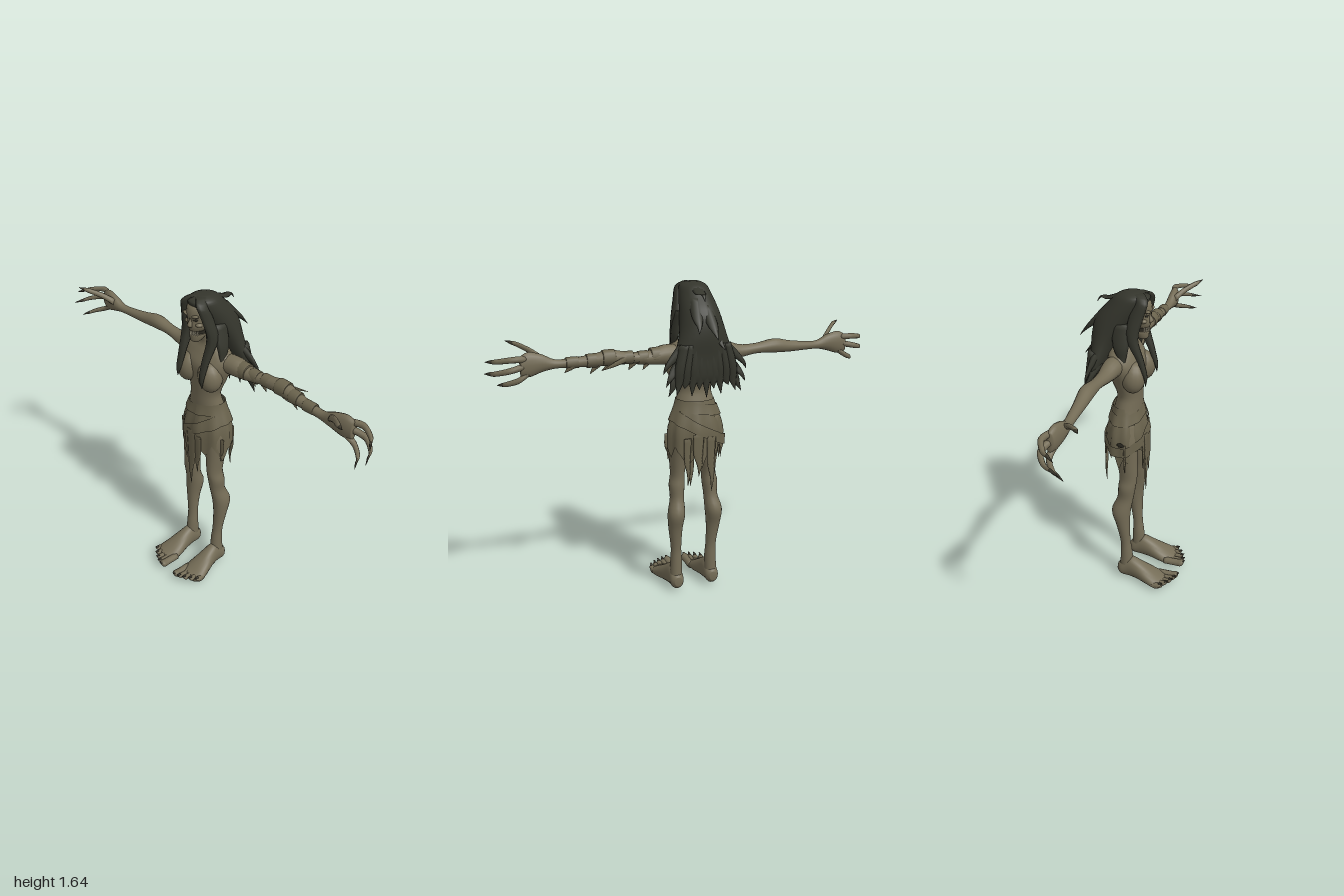
import * as THREE from 'three';

const mat = (name, color, side = THREE.FrontSide) => {
  const m = new THREE.MeshStandardMaterial({ color, side });
  m.name = name;
  return m;
};

// Smooth closed loft; each section is [x, y, z, a, b], its ring square to the axis
function loft(sections, axis = 'y', sides = 14, steps = 4) {
  const n = (sections.length - 1) * steps, pos = [], idx = [];
  const cr = (p0, p1, p2, p3, t) => p1 + 0.5 * t * (p2 - p0 + t * (2 * p0 - 5 * p1 + 4 * p2 - p3 + t * (3 * (p1 - p2) + p3 - p0)));
  const at = i => sections[Math.max(0, Math.min(sections.length - 1, i))];
  for (let r = 0; r <= n; r++) {
    const k = Math.min(Math.floor(r / steps), sections.length - 2), t = r / steps - k;
    const [x, y, z, a, b] = [0, 1, 2, 3, 4].map(c => cr(at(k - 1)[c], at(k)[c], at(k + 1)[c], at(k + 2)[c], t));
    for (let j = 0; j < sides; j++) {
      const w = j / sides * Math.PI * 2;
      const u = Math.cos(w) * Math.max(a, 0.0008), v = Math.sin(w) * Math.max(b, 0.0008);
      if (axis === 'y') pos.push(x + u, y, z + v);
      else if (axis === 'x') pos.push(x, y + u, z + v);
      else pos.push(x + u, y + v, z);
      if (r < n) {
        const p = r * sides + j, q = r * sides + (j + 1) % sides;
        idx.push(p, p + sides, q, q, p + sides, q + sides);
      }
    }
  }
  // end caps
  const c0 = pos.length / 3;
  pos.push(...at(0).slice(0, 3), ...at(sections.length - 1).slice(0, 3));
  for (let j = 0; j < sides; j++) {
    const j2 = (j + 1) % sides;
    idx.push(c0, j, j2, c0 + 1, n * sides + j2, n * sides + j);
  }
  // turn the faces outward
  const P = i => new THREE.Vector3().fromArray(pos, i * 3);
  const o = P(c0);
  let vol = 0;
  for (let i = 0; i < idx.length; i += 3)
    vol += P(idx[i]).sub(o).dot(P(idx[i + 1]).sub(o).cross(P(idx[i + 2]).sub(o)));
  if (vol < 0) idx.reverse();
  const g = new THREE.BufferGeometry();
  g.setAttribute('position', new THREE.Float32BufferAttribute(pos, 3));
  g.setIndex(idx);
  g.computeVertexNormals();
  return g;
}

// Open cloth around the hips between two height rules of the angle (0 = front)
function hipCloth(top, bottom, out, cols = 48, rows = 6) {
  const pos = [], idx = [];
  for (let r = 0; r <= rows; r++) for (let c = 0; c <= cols; c++) {
    const w = c / cols * Math.PI * 2, y = THREE.MathUtils.lerp(top(w), bottom(w), r / rows);
    const k = THREE.MathUtils.smoothstep(1.09 - y, 0, 0.2), fold = 0.005 * Math.sin(w * 9) * k;
    pos.push(Math.sin(w) * (0.095 + 0.052 * k + out + fold), y, -0.033 + Math.cos(w) * (0.065 + 0.036 * k + out + fold));
    if (r < rows && c < cols) {
      const p = r * (cols + 1) + c, q = p + cols + 1;
      idx.push(p, q, p + 1, p + 1, q, q + 1);
    }
  }
  const g = new THREE.BufferGeometry();
  g.setAttribute('position', new THREE.Float32BufferAttribute(pos, 3));
  g.setIndex(idx);
  g.computeVertexNormals();
  return g;
}

export function createModel() {
  const skin = mat('skin', 0x746c56), hair = mat('hair', 0x34352c);
  const cloth = mat('cloth', 0x6a634d, THREE.DoubleSide), dark = mat('dark', 0x2a2820);
  const teeth = mat('teeth', 0xb5ad94), claw = mat('claw', 0x403c30);
  const model = new THREE.Group(), body = new THREE.Group();
  body.name = 'body';
  body.position.x = -0.015;
  model.add(body);
  const add = (parent, name, geo, m) => {
    const mesh = new THREE.Mesh(geo, m);
    mesh.name = name;
    parent.add(mesh);
    return mesh;
  };
  const ball = (name, p, s, m) => {
    const b = add(body, name, new THREE.SphereGeometry(1, 18, 12), m);
    b.position.set(...p);
    b.scale.set(...s);
    return b;
  };
  const flip = (s, rows) => rows.map(([x, ...rest]) => [x * s, ...rest]);

  // Torso and neck
  add(body, 'torso', loft([[0, 0.88, -0.035, 0.09, 0.07], [0, 0.98, -0.035, 0.115, 0.075], [0, 1.06, -0.025, 0.097, 0.066],
    [0, 1.12, -0.02, 0.088, 0.062], [0, 1.2, -0.03, 0.115, 0.077], [0, 1.28, -0.035, 0.143, 0.088], [0, 1.34, -0.045, 0.135, 0.07],
    [0, 1.38, -0.045, 0.07, 0.05], [0, 1.42, -0.03, 0.037, 0.036], [0, 1.5, -0.015, 0.034, 0.036]], 'y', 24), skin);

  // Head: skull, dropped jaw, nose and bared teeth
  add(body, 'skull', loft([[0, 1.475, 0.03, 0.038, 0.048], [0, 1.5, 0.028, 0.052, 0.055], [0, 1.53, 0.018, 0.056, 0.062],
    [0, 1.555, 0.01, 0.058, 0.078], [0, 1.59, 0, 0.06, 0.083], [0, 1.615, -0.005, 0.048, 0.065], [0, 1.63, -0.005, 0.02, 0.03]], 'y', 20), skin);
  add(body, 'jaw', loft([[0, 1.412, 0.05, 0.016, 0.012], [0, 1.422, 0.044, 0.028, 0.028], [0, 1.447, 0.03, 0.04, 0.045],
    [0, 1.457, 0.028, 0.04, 0.045]], 'y', 16), skin);
  add(body, 'mouth', loft([[0, 1.45, 0.022, 0.037, 0.043], [0, 1.482, 0.024, 0.037, 0.043]], 'y', 16), dark);
  add(body, 'nose', loft([[0, 1.497, 0.08, 0.012, 0.008], [0, 1.507, 0.082, 0.014, 0.014], [0, 1.53, 0.076, 0.008, 0.01],
    [0, 1.55, 0.078, 0.005, 0.006]], 'y', 10), skin);
  for (let i = -3; i <= 3; i++) for (const y of [1.472, 1.459]) {
    const t = add(body, 'tooth', new THREE.BoxGeometry(0.007, 0.011, 0.006), teeth);
    t.position.set(i * 0.0085, y, 0.074 - i * i * 0.0016);
  }
  for (const s of [-1, 1]) {
    ball('eyeSocket', [s * 0.025, 1.538, 0.073], [0.014, 0.008, 0.004], dark).rotation.y = s * 0.35;
    ball('brow', [s * 0.027, 1.556, 0.076], [0.024, 0.008, 0.012], skin).rotation.z = s * 0.2;
    ball('cheekbone', [s * 0.036, 1.512, 0.056], [0.017, 0.011, 0.02], skin);
    const chest = ball('breast', [s * 0.073, 1.235, 0.022], [0.062, 0.08, 0.06], skin);
    chest.rotation.z = s * 0.2;
  }

  // Hair mass, side locks and ragged ends
  add(body, 'hairMass', loft([[0, 1.64, -0.005, 0.03, 0.03], [0, 1.622, -0.002, 0.064, 0.078], [0, 1.58, -0.03, 0.08, 0.092],
    [0, 1.5, -0.088, 0.098, 0.1], [0, 1.4, -0.133, 0.12, 0.072], [0, 1.3, -0.153, 0.15, 0.045], [0, 1.21, -0.17, 0.155, 0.024],
    [0, 1.17, -0.175, 0.14, 0.008]], 'y', 24), hair);
  const lock = (pts, axis = 'y') => add(body, 'hairLock', loft(pts, axis, 8), hair);
  for (const s of [-1, 1]) {
    lock(flip(s, [[0.02, 1.637, 0.03, 0.018, 0.03], [0.05, 1.61, 0.055, 0.022, 0.03], [0.07, 1.54, 0.035, 0.02, 0.035],
      [0.085, 1.44, 0.02, 0.026, 0.03], [0.08, 1.33, 0.06, 0.022, 0.016], [0.08, 1.25, 0.085, 0.016, 0.009], [0.086, 1.2, 0.088, 0.001, 0.001]]));
    lock(flip(s, [[0.075, 1.5, -0.03, 0.02, 0.05], [0.105, 1.4, -0.03, 0.018, 0.04], [0.115, 1.34, -0.02, 0.01, 0.02], [0.13, 1.3, -0.01, 0.001, 0.001]]));
    // wisps flaring behind the arms
    for (const [y, x, z] of [[1.26, 0.215, -0.17], [1.2, 0.205, -0.18], [1.15, 0.19, -0.17]])
      lock(flip(s, [[0.08, y + 0.1, -0.145, 0.05, 0.03], [0.14, y + 0.05, -0.16, 0.035, 0.016], [x - 0.02, y, z, 0.014, 0.006], [x, y - 0.035, z, 0.001, 0.001]]));
  }
  for (let i = -4; i <= 4; i++) {
    const x = i * 0.033, tip = 1.1 + 0.035 * (i & 1) + 0.006 * Math.abs(i);
    lock([[x * 0.8, 1.36, -0.165, 0.028, 0.03], [x, 1.25, -0.18, 0.028, 0.018], [x * 1.05, 1.18, -0.18, 0.02, 0.01], [x * 1.15, tip, -0.185, 0.001, 0.001]]);
  }
  for (const [x, y, z, dy] of [[0.01, 1.56, -0.19, 0], [-0.02, 1.39, -0.27, 0.02], [0.05, 1.42, -0.24, 0], [-0.07, 1.33, -0.22, 0]])
    lock([[x * 0.6, y + 0.15 - (y > 1.5 ? 0.09 : 0), z + 0.15, 0.03, 0.04], [x * 0.9, y + 0.07 - (y > 1.5 ? 0.04 : 0), z + 0.065, 0.028, 0.02],
      [x, y + 0.03, z + 0.025, 0.013, 0.008], [x * 1.2, y, z, 0.001, 0.001]]);

  for (const s of [-1, 1]) {
    // Legs and feet
    add(body, 'leg', loft(flip(s, [[0.065, 0.98, -0.035, 0.055, 0.07], [0.08, 0.88, -0.025, 0.06, 0.07], [0.083, 0.76, -0.01, 0.048, 0.055],
      [0.086, 0.66, -0.002, 0.037, 0.047], [0.092, 0.6, -0.008, 0.041, 0.046], [0.094, 0.53, -0.016, 0.036, 0.043], [0.104, 0.45, -0.036, 0.045, 0.051],
      [0.106, 0.36, -0.026, 0.037, 0.036], [0.1, 0.25, -0.015, 0.028, 0.027], [0.098, 0.17, -0.01, 0.031, 0.032], [0.1, 0.07, -0.008, 0.034, 0.038]]), 'y', 18), skin);
    add(body, 'foot', loft(flip(s, [[0.1, 0.06, -0.056, 0.02, 0.025], [0.1, 0.06, -0.035, 0.036, 0.045], [0.1, 0.076, 0.01, 0.038, 0.066],
      [0.102, 0.067, 0.06, 0.046, 0.06], [0.106, 0.045, 0.13, 0.064, 0.043], [0.11, 0.032, 0.18, 0.07, 0.029], [0.105, 0.028, 0.21, 0.055, 0.02]]), 'z', 18), skin);
    for (let i = 0; i < 5; i++) {
      const x = 0.054 + i * 0.028, z = 0.275 - i * i * 0.0028 - i * 0.004, r = i ? 0.013 : 0.02;
      add(body, 'toe', loft(flip(s, [[x, 0.035, 0.16, r, r], [x, 0.038, z - 0.045, r, r], [x, 0.042, z - 0.015, r * 1.1, r], [x, 0.05, z - 0.002, r * 0.5, r * 0.5]]), 'z', 10), skin);
      add(body, 'toenail', loft(flip(s, [[x, 0.054, z - 0.016, r * 0.6, 0.006], [x, 0.06, z + 0.004, r * 0.3, 0.003]]), 'z', 8), claw);
    }

    // Arms
    add(model, 'arm', loft(flip(s, [[0.07, 1.3, -0.05, 0.045, 0.05], [0.16, 1.3, -0.06, 0.048, 0.048], [0.24, 1.292, -0.066, 0.033, 0.037],
      [0.33, 1.3, -0.07, 0.026, 0.03], [0.43, 1.307, -0.072, 0.036, 0.036], [0.52, 1.298, -0.066, 0.029, 0.03], [0.62, 1.293, -0.058, 0.022, 0.024],
      [0.69, 1.292, -0.052, 0.022, 0.022], [0.75, 1.3, -0.05, 0.042, 0.027], [0.81, 1.298, -0.055, 0.058, 0.025], [0.85, 1.293, -0.06, 0.045, 0.018]]), 'x', 16), skin);
    // Fingers: base, knuckle, bend and claw tip
    const fingers = [
      [[0.74, 1.315, -0.035], [0.79, 1.35, 0.005], [0.84, 1.375, 0.05], [0.89, 1.39, 0.085]],
      [[0.82, 1.325, -0.06], [0.885, 1.328, -0.075], [0.95, 1.318, -0.04], [0.995, 1.308, 0.025]],
      [[0.83, 1.292, -0.062], [0.9, 1.278, -0.075], [0.96, 1.262, -0.035], [1, 1.248, 0.05]],
      [[0.81, 1.26, -0.055], [0.86, 1.228, -0.06], [0.91, 1.208, -0.025], [0.945, 1.192, 0.04]]];
    for (const [a, b, c, d] of fingers) {
      const m = c.map((v, i) => v + (d[i] - v) * 0.45);
      add(model, 'finger', loft(flip(s, [[...a, 0.016, 0.016], [...b, 0.0145, 0.0145], [...c, 0.012, 0.014], [...m, 0.009, 0.01]]), 'x', 10), skin);
      add(model, 'claw', loft(flip(s, [[...c.map((v, i) => v + (m[i] - v) * 0.8), 0.008, 0.009], [...m, 0.0095, 0.0105], [...d, 0.001, 0.001]]), 'x', 8), claw);
    }
  }

  // Wrappings on the left arm, with torn ends
  for (const [x, y, z, r, w] of [[0.2, 1.298, -0.063, 0.043, 0.03], [0.27, 1.295, -0.068, 0.034, 0.025], [0.35, 1.301, -0.071, 0.032, 0.03],
    [0.44, 1.307, -0.072, 0.04, 0.03], [0.52, 1.298, -0.066, 0.034, 0.025], [0.61, 1.294, -0.059, 0.028, 0.03]])
    add(model, 'armWrap', loft([[x - w, y, z, r * 0.88, r * 0.88], [x - w * 0.8, y, z, r, r], [x + w * 0.8, y, z, r * 0.97, r * 0.97], [x + w, y, z, r * 0.85, r * 0.85]], 'x', 14), cloth);
  for (const [x, dx, y] of [[0.22, 0.05, 1.235], [0.3, 0.04, 1.24], [0.41, 0.06, 1.25], [0.47, 0.06, 1.235], [0.6, 0.05, 1.25]])
    add(model, 'tornWrap', loft([[x, 1.29, -0.07, 0.028, 0.016], [x + dx * 0.5, 1.265, -0.07, 0.018, 0.008], [x + dx, y, -0.07, 0.001, 0.001]], 'y', 8), cloth);
  add(model, 'looseWrap', loft([[0.35, 1.3, -0.09, 0.015, 0.008], [0.42, 1.285, -0.125, 0.012, 0.004], [0.5, 1.27, -0.175, 0.001, 0.001]], 'x', 8), cloth);

  // Ragged skirt with waistband and slanted sash
  const hems = [0.74, 0.8, 0.77, 0.84, 0.79, 0.74, 0.82, 0.77, 0.83, 0.79, 0.73, 0.78, 0.72, 0.8, 0.77, 0.84, 0.79, 0.83, 0.73, 0.8, 0.76, 0.85, 0.83, 0.8];
  const hem = w => {
    const f = w / (Math.PI * 2) * 24, i = Math.floor(f + 1e-6);
    return THREE.MathUtils.lerp(hems[i % 24], hems[(i + 1) % 24], f - i);
  };
  add(body, 'skirt', hipCloth(() => 1.06, hem, 0), cloth);
  add(body, 'waistband', hipCloth(w => 1.05 + 0.02 * Math.sin(w), w => 0.995 + 0.02 * Math.sin(w), 0.007), cloth);
  add(body, 'sash', hipCloth(w => 0.945 + 0.08 * Math.sin(w), w => 0.885 + 0.075 * Math.sin(w), 0.008), cloth);
  // Hanging strips: x, z, top, tip, half width
  for (const [x, z, top, tip, w] of [[-0.015, 0.07, 0.9, 0.55, 0.032], [0.03, 0.068, 0.88, 0.65, 0.025], [-0.05, 0.066, 0.86, 0.7, 0.018],
    [-0.145, 0.0, 0.88, 0.72, 0.018], [0.135, 0.0, 0.88, 0.74, 0.018], [0.02, -0.138, 0.9, 0.68, 0.03], [-0.05, -0.135, 0.88, 0.59, 0.024], [0.075, -0.128, 0.88, 0.63, 0.02]])
    add(body, 'skirtStrip', loft([[x, top, z, w, 0.005], [x + 0.004, top * 0.55 + tip * 0.45, z, w * 0.85, 0.005],
      [x - 0.004, top * 0.25 + tip * 0.75, z, w * 0.45, 0.004], [x, tip, z, 0.001, 0.001]], 'y', 8), cloth);
  // Small tear on the right hip
  ball('tear', [-0.153, 0.885, -0.02], [0.004, 0.012, 0.018], dark);

  return model;
}
